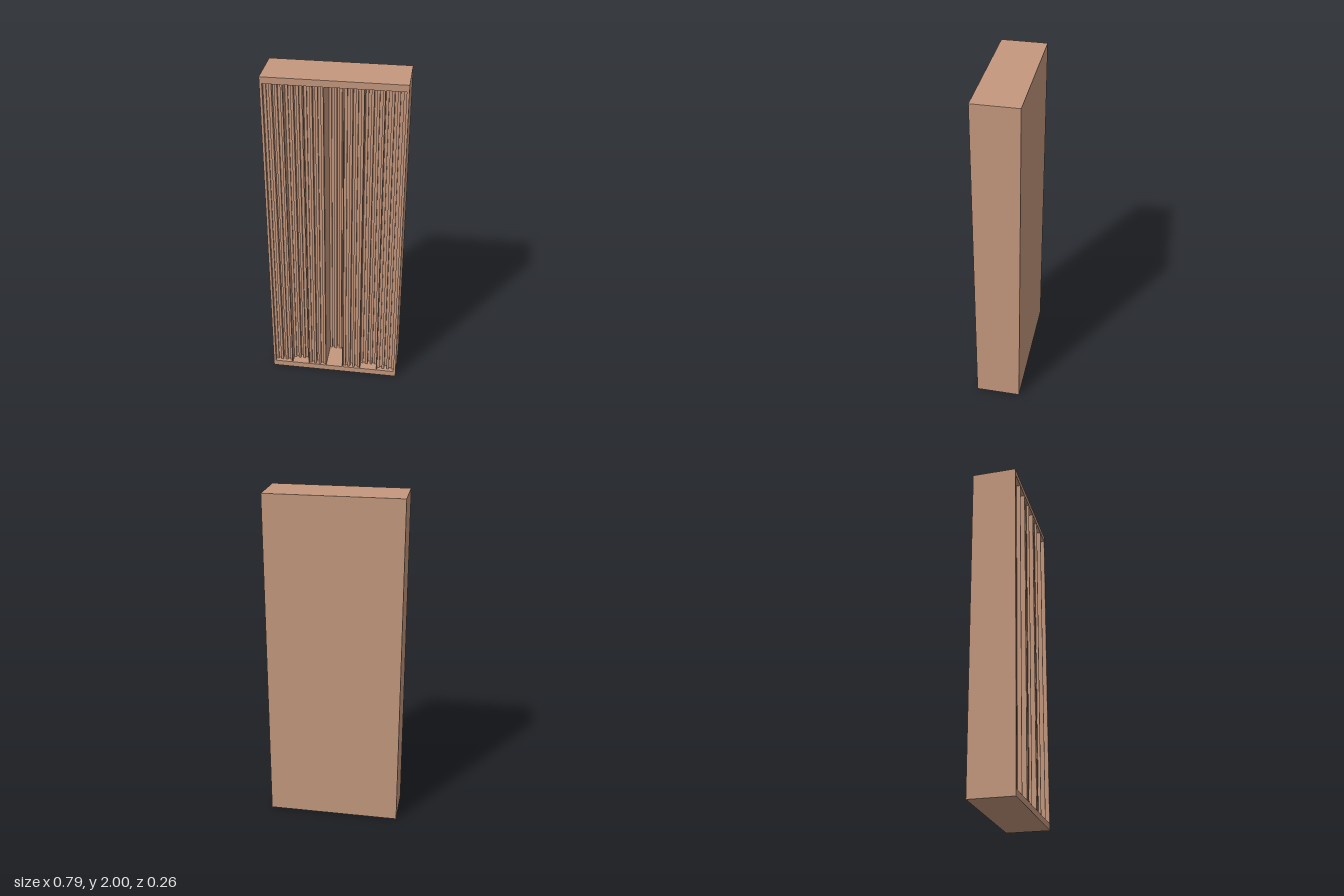
import * as THREE from 'three';

const W = 0.788, H = 2, D = 0.264;      // outer case
const SIDE = 0.014, RAIL = 0.038;       // frame thickness
const BACK = 0.02;                      // back panel
const FIN = 0.005;                      // divider between wells
const N = 7;

// Depth of each main well, and of the small steps repeated inside it
const WELLS = [0.015, 0.045, 0.006, 0.17, 0.006, 0.045, 0.015];
const STEPS = [1, 3, 0, 6, 0, 3, 1].map(n => n * 0.005);

export function createModel() {
  const model = new THREE.Group();
  model.name = 'slottedPanel';
  const wood = new THREE.MeshStandardMaterial({ color: 0xc4987e });
  wood.name = 'wood';

  const add = (name, geometry) => {
    const mesh = new THREE.Mesh(geometry, wood);
    mesh.name = name;
    model.add(mesh);
    return mesh;
  };

  const iw = W - 2 * SIDE, ih = H - 2 * RAIL;
  const zBack = -D / 2 + BACK, zFront = D / 2;

  // Surrounding frame with a rectangular opening
  const outline = new THREE.Shape([
    new THREE.Vector2(-W / 2, 0), new THREE.Vector2(W / 2, 0),
    new THREE.Vector2(W / 2, H), new THREE.Vector2(-W / 2, H),
  ]);
  outline.holes.push(new THREE.Path([
    new THREE.Vector2(-iw / 2, RAIL), new THREE.Vector2(-iw / 2, H - RAIL),
    new THREE.Vector2(iw / 2, H - RAIL), new THREE.Vector2(iw / 2, RAIL),
  ]));
  add('frame', new THREE.ExtrudeGeometry(outline, { depth: D - BACK, bevelEnabled: false }))
    .position.z = zBack;

  // Closed back
  add('backPanel', new THREE.BoxGeometry(W, H, BACK)).position.set(0, H / 2, -D / 2 + BACK / 2);

  // Stepped wells: one horizontal profile, extruded upwards
  const pitch = iw / N;
  const points = [new THREE.Vector2(-iw / 2, -zBack)];
  const level = (x0, x1, z) => points.push(new THREE.Vector2(x0, -z), new THREE.Vector2(x1, -z));
  WELLS.forEach((depth, i) => {
    const left = -iw / 2 + i * pitch + (i > 0 ? FIN / 2 : 0);
    const right = -iw / 2 + (i + 1) * pitch - (i < N - 1 ? FIN / 2 : 0);
    const w = (right - left) / N;
    STEPS.forEach((step, j) => level(left + j * w, left + (j + 1) * w, zFront - 0.004 - depth - step));
    if (i < N - 1) level(right, right + FIN, zFront);
  });
  points.push(new THREE.Vector2(iw / 2, -zBack));
  const wells = new THREE.ExtrudeGeometry(new THREE.Shape(points), { depth: ih, bevelEnabled: false });
  wells.rotateX(-Math.PI / 2);
  // The profile was drawn with depth reversed, so the rotation restores +z as the front
  add('steppedWells', wells).position.y = RAIL;

  return model;
}
